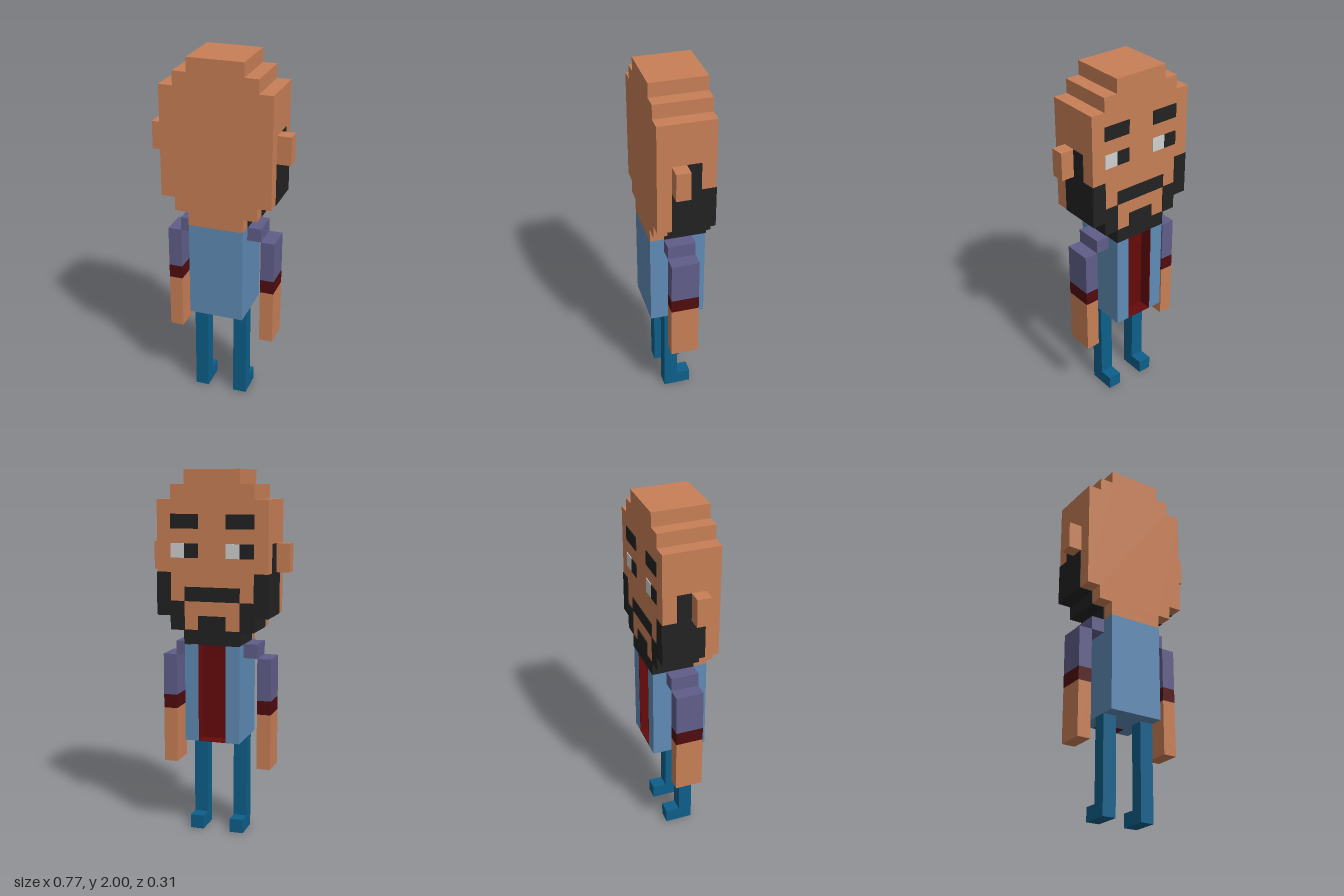
import * as THREE from 'three';

const U = 1 / 13; // one block; the figure is 26 blocks tall
const T = 0.05;   // plate thickness in blocks

const mat = (name, color) => {
  const m = new THREE.MeshStandardMaterial({ color });
  m.name = name;
  return m;
};

export function createModel() {
  const skin = mat('skin', 0xc87f56);
  const black = mat('hair black', 0x222222);
  const white = mat('eye white', 0xd0d0d0);
  const blue = mat('jacket blue', 0x5f8bb5);
  const purple = mat('sleeve purple', 0x605e89);
  const maroon = mat('cuff maroon', 0x500c0f);
  const red = mat('shirt red', 0x660a0b);
  const navy = mat('trouser blue', 0x0d5f8a);

  const model = new THREE.Group();
  model.name = 'blockFigure';

  const add = (parent, name, geometry, material) => {
    const mesh = new THREE.Mesh(geometry, material);
    mesh.name = name;
    parent.add(mesh);
    return mesh;
  };
  // box given by its block limits on each axis
  const box = (parent, name, material, x0, x1, y0, y1, z0, z1) => {
    const g = new THREE.BoxGeometry((x1 - x0) * U, (y1 - y0) * U, (z1 - z0) * U);
    g.translate((x0 + x1) / 2 * U, (y0 + y1) / 2 * U, (z0 + z1) / 2 * U);
    return add(parent, name, g, material);
  };
  const group = (name) => {
    const g = new THREE.Group();
    g.name = name;
    model.add(g);
    return g;
  };
  const outline = (pts) => new THREE.Shape(pts.map(([x, y]) => new THREE.Vector2(x * U, y * U)));
  const extrude = (pts, depth) =>
    new THREE.ExtrudeGeometry(outline(pts), { depth: depth * U, bevelEnabled: false });

  // head: stepped outline, mirrored
  const head = group('head');
  const half = [[2, 14], [2, 15], [3, 15], [3, 16], [4, 16], [4, 24], [3, 24], [3, 25], [2, 25], [2, 26]];
  const mirrored = half.map(([x, y]) => [-x, y]).reverse();
  const skull = extrude([...half, ...mirrored], 4);
  skull.translate(0, 0, -2 * U);
  add(head, 'skull', skull, skin);

  // face details, thin plates on the -z side
  const face = (name, material, x0, x1, y0, y1) =>
    box(head, name, material, x0, x1, y0, y1, -2 - T, -2 + T / 2);
  face('moustache', black, -2, 2, 17, 18);
  face('goatee', black, -1, 1, 15, 16);
  face('chinBeard', black, -2, 2, 14, 15);
  face('leftEyeWhite', white, 2, 3, 20, 21);
  face('leftPupil', black, 1, 2, 20, 21);
  face('rightEyeWhite', white, -2, -1, 20, 21);
  face('rightPupil', black, -3, -2, 20, 21);
  box(head, 'beardUnderChin', black, -2, 2, 14 - T, 14, -2, 1);

  for (const s of [1, -1]) {
    const side = s > 0 ? 'left' : 'right';
    const sided = (parent, name, material, x0, x1, ...rest) =>
      box(parent, side + name, material, Math.min(s * x0, s * x1), Math.max(s * x0, s * x1), ...rest);

    // ear, brow and beard
    sided(head, 'Ear', skin, 4, 5, 19, 21, 0, 1);
    sided(head, 'Eyebrow', black, 1, 3, 22, 23, -2 - T, -2 + T / 2);
    sided(head, 'CheekBeard', black, 3, 4, 16, 19, -2 - T, -2 + T / 2);
    sided(head, 'JawBeard', black, 2, 3, 15, 17, -2 - T, -2 + T / 2);
    sided(head, 'Sideburn', black, 4, 4 + T, 19, 21, -1, 0);
    sided(head, 'SideBeard', black, 4, 4 + T, 16, 19, -2, 1);
    for (const step of [2, 3]) {
      sided(head, 'JawStepSide', black, step, step + T, step + 12, step + 13, -2, 1);
      sided(head, 'JawStepUnderside', black, step, step + 1, step + 13 - T, step + 13, -2, 1);
    }

    // arm
    const arm = group(side + 'Arm');
    sided(arm, 'Shoulder', purple, 2, 3, 13, 14, -1, 1);
    sided(arm, 'Sleeve', purple, 3, 4, 10, 13, -1, 1);
    sided(arm, 'Cuff', maroon, 3, 4, 9, 10, -1, 1);
    sided(arm, 'Forearm', skin, 3, 4, 5, 9, -1, 1);

    // leg with foot pointing to -z
    const leg = group(side + 'Leg');
    const legShape = extrude([[0, 0], [2, 0], [2, 1], [1, 1], [1, 7], [0, 7]], 1);
    legShape.rotateY(Math.PI / 2);
    legShape.translate((s > 0 ? 1 : -2) * U, 0, U);
    add(leg, side + 'Trouser', legShape, navy);
  }

  // jacket: block with an open channel along the -z side
  const torso = group('torso');
  const jacket = extrude([[-2, -2], [2, -2], [2, 2], [1, 2], [1, 1], [-1, 1], [-1, 2], [-2, 2]], 7);
  jacket.rotateX(-Math.PI / 2);
  jacket.translate(0, 7 * U, 0);
  add(torso, 'jacket', jacket, blue);

  // red shirt lining the channel
  box(torso, 'shirtFront', red, -1, 1, 7, 14, -1 - T, -1);
  box(torso, 'shirtLeftEdge', red, 1 - T, 1, 7, 14, -2, -1);
  box(torso, 'shirtRightEdge', red, -1, -1 + T, 7, 14, -2, -1);
  box(torso, 'shirtHem', red, -1, 1, 7, 7 + T, -2, -1);

  return model;
}
